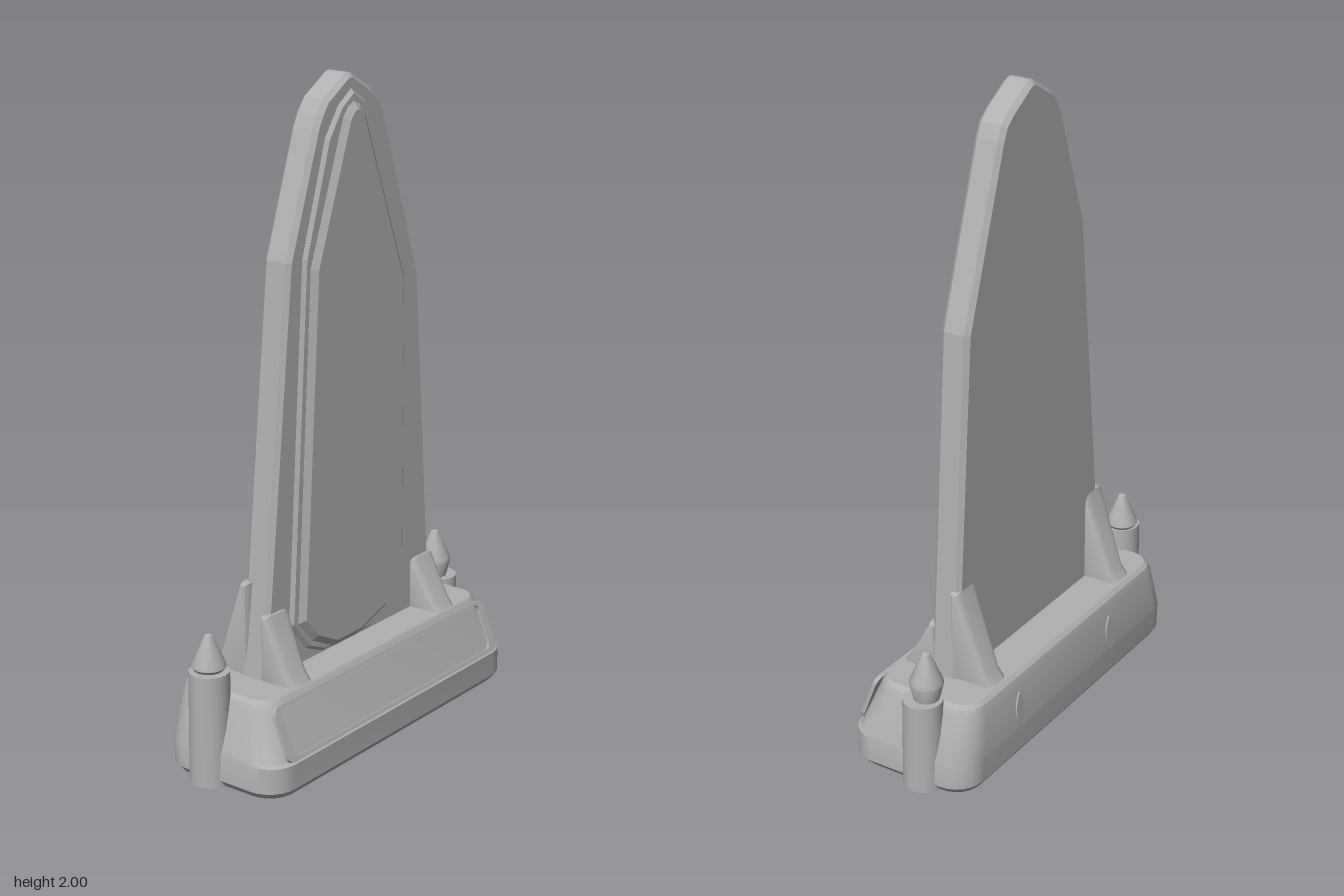
import * as THREE from 'three';
import { toCreasedNormals } from 'three/addons/utils/BufferGeometryUtils.js';

const stone = new THREE.MeshStandardMaterial({ color: 0xb0b0b0 });
stone.name = 'grey stone';

function add(parent, name, geometry, x = 0, y = 0, z = 0) {
  const mesh = new THREE.Mesh(geometry, stone);
  mesh.name = name;
  mesh.position.set(x, y, z);
  parent.add(mesh);
  return mesh;
}

const polygon = (pts) => new THREE.Shape(pts.map(([x, y]) => new THREE.Vector2(x, y)));

// Extrusion from z0 to z1 whose bevel stays inside the outline
function plate(shape, z0, z1, bevel, thickness = bevel, segments = 1) {
  const geo = new THREE.ExtrudeGeometry(shape, {
    depth: z1 - z0 - 2 * thickness, bevelEnabled: bevel > 0, bevelSize: bevel,
    bevelThickness: thickness, bevelOffset: -bevel, bevelSegments: segments,
  });
  return geo.translate(0, 0, z0 + thickness);
}

function roundedRect(path, w, h, r) {
  path.moveTo(-w + r, 0).lineTo(w - r, 0).quadraticCurveTo(w, 0, w, r);
  path.lineTo(w, h - r).quadraticCurveTo(w, h, w - r, h).lineTo(-w + r, h);
  path.quadraticCurveTo(-w, h, -w, h - r).lineTo(-w, r).quadraticCurveTo(-w, 0, -w + r, 0);
  return path;
}

// Plinth: rounded rectangles stacked along y, [y, half width, back z, front z, radius]
function plinthGeometry() {
  const levels = [
    [0, 0.575, -0.2, 0.195, 0.08], [0.022, 0.593, -0.215, 0.211, 0.09],
    [0.1, 0.59, -0.219, 0.213, 0.09], [0.108, 0.588, -0.219, 0.202, 0.09],
    [0.24, 0.55, -0.208, 0.152, 0.08], [0.264, 0.54, -0.2, 0.143, 0.075],
    [0.275, 0.525, -0.188, 0.134, 0.06],
  ];
  const corner = 6, n = 4 * (corner + 1), pos = [], index = [];
  for (const [y, w, back, front, r] of levels) {
    for (let c = 0; c < 4; c++) {
      const cx = c === 0 || c === 3 ? w - r : r - w;
      const cz = c < 2 ? front - r : back + r;
      for (let i = 0; i <= corner; i++) {
        const a = (c + i / corner) * Math.PI / 2;
        pos.push(cx + r * Math.cos(a), y, cz + r * Math.sin(a));
      }
    }
  }
  const last = levels.length - 1;
  pos.push(0, 0, 0, 0, levels[last][0], 0);
  for (let i = 0; i < n; i++) {
    const j = (i + 1) % n;
    for (let k = 0; k < last; k++) {
      const a = k * n + i, b = k * n + j;
      index.push(a, a + n, b + n, a, b + n, b);
    }
    index.push(n * (last + 1), i, j, n * (last + 1) + 1, last * n + j, last * n + i);
  }
  const geo = new THREE.BufferGeometry();
  geo.setAttribute('position', new THREE.Float32BufferAttribute(pos, 3));
  geo.setIndex(index);
  return toCreasedNormals(geo, 0.45);
}

// Wedge buttress leaning on the slab, direction 1 = front, -1 = back
function buttress(parent, name, x, direction, reach, top) {
  const start = direction > 0 ? 0.01 : 0.04;
  const shape = polygon([[start, 0.25], [reach, 0.25], [reach, 0.275],
    [reach - 0.025, 0.305], [direction > 0 ? 0.035 : 0.068, top], [start, top]]);
  const geo = plate(shape, -0.049, 0.049, 0.012, 0.022, 3);
  // narrower at the foot of the slope
  const p = geo.attributes.position;
  for (let i = 0; i < p.count; i++) p.setZ(i, p.getZ(i) * (1.08 - 1.6 * Math.max(0, p.getX(i) - 0.03)));
  const mesh = add(parent, name, toCreasedNormals(geo, 0.6), x, 0, 0);
  mesh.rotation.y = direction > 0 ? -Math.PI / 2 : Math.PI / 2;
}

// Round corner post with a pointed finial
function post(parent, name, x, height, finialX, tip) {
  const group = new THREE.Group();
  group.name = name;
  add(group, 'postShaft', new THREE.CylinderGeometry(0.06, 0.063, height, 24), x, height / 2, -0.05);
  const profile = [[0, height - 0.01], [0.036, height - 0.01], [0.051, tip - 0.1],
    [0.049, tip - 0.09], [0.012, tip - 0.005], [0, tip]].map(([r, y]) => new THREE.Vector2(r, y));
  add(group, 'finial', toCreasedNormals(new THREE.LatheGeometry(profile, 24), 0.5), finialX, 0, -0.057);
  parent.add(group);
}

export function createModel() {
  const model = new THREE.Group();
  model.name = 'monument';

  // Plinth with a framed, sunken front panel
  add(model, 'plinth', plinthGeometry());
  const frame = roundedRect(new THREE.Shape(), 0.525, 0.168, 0.03);
  frame.holes.push(roundedRect(new THREE.Path(), 0.495, 0.146, 0.025));
  frame.holes[0].curves.forEach((c) => ['v0', 'v1', 'v2'].forEach((k) => c[k] && (c[k].y += 0.012)));
  const frameMesh = add(model, 'plinthFrame', plate(frame, -0.004, 0.008, 0), 0, 0.104, 0.205);
  frameMesh.rotation.x = -Math.atan2(0.06, 0.156);

  // Leaf shaped marks on the back of the plinth
  for (const x of [-0.22, 0.3]) {
    const leaf = new THREE.Shape();
    leaf.moveTo(0, -0.06).quadraticCurveTo(0.045, 0, 0, 0.06).quadraticCurveTo(-0.045, 0, 0, -0.06);
    const mark = add(model, 'backLeafMark', plate(leaf, -0.004, 0.004, 0), x, 0.16, -0.215);
    mark.rotation.set(0.07, Math.PI, 0);
  }

  // Tall slab with a bevelled edge
  add(model, 'slab', plate(polygon([
    [-0.415, 0.25], [0.42, 0.25], [0.34, 1.35], [0.165, 1.87], [0.145, 1.91], [0.11, 1.94],
    [0.015, 1.997], [0, 2], [-0.015, 1.997], [-0.11, 1.94], [-0.14, 1.9], [-0.16, 1.86], [-0.285, 1.5],
  ]), -0.068, 0.026, 0.014));

  // Raised border and central panel on the front
  add(model, 'border', plate(polygon([
    [-0.14, 0.28], [0.1, 0.28], [0.17, 0.31], [0.26, 0.45], [0.285, 1.35], [0.12, 1.8],
    [0.1, 1.86], [0.06, 1.915], [0, 1.955], [-0.06, 1.915], [-0.12, 1.83], [-0.225, 1.5],
    [-0.295, 0.41], [-0.22, 0.315],
  ]), 0, 0.037, 0.01));
  add(model, 'panel', plate(polygon([
    [-0.1, 0.285], [0.02, 0.285], [0.16, 0.33], [0.245, 0.48], [0.245, 1.36], [0.05, 1.88],
    [0.025, 1.91], [0, 1.92], [-0.025, 1.91], [-0.05, 1.88], [-0.2, 1.47], [-0.265, 0.41], [-0.2, 0.335],
  ]), 0, 0.052, 0.02, 0.014));

  // Buttresses at the foot of the slab
  buttress(model, 'frontRightButtress', -0.36, 1, 0.13, 0.475);
  buttress(model, 'frontLeftButtress', 0.36, 1, 0.13, 0.435);
  buttress(model, 'backRightButtress', -0.36, -1, 0.18, 0.56);
  buttress(model, 'backLeftButtress', 0.36, -1, 0.18, 0.56);

  // End posts
  post(model, 'rightPost', -0.567, 0.345, -0.56, 0.455);
  post(model, 'leftPost', 0.565, 0.287, 0.555, 0.44);
  return model;
}
